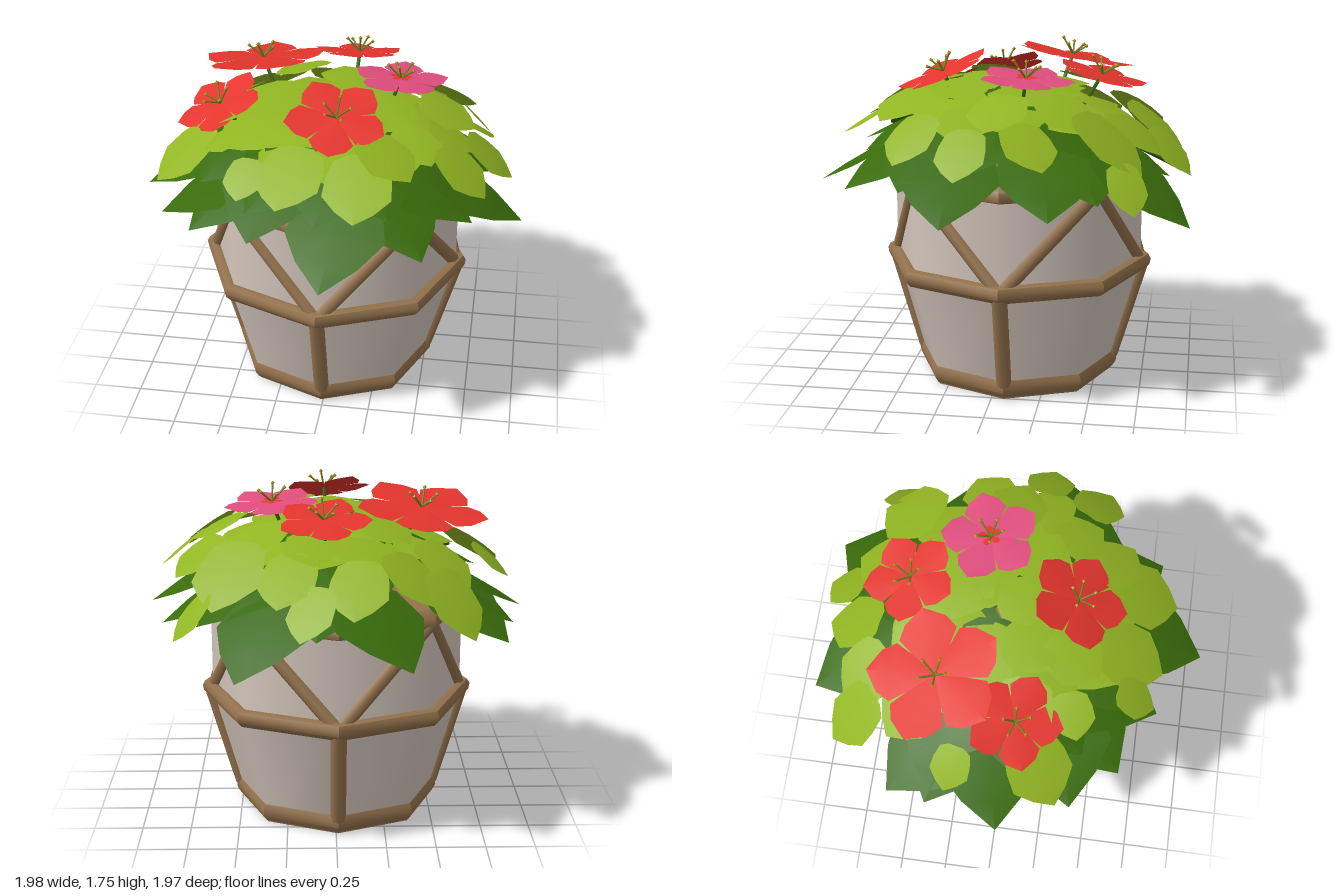
import * as THREE from 'three';
import { toCreasedNormals } from 'three/addons/utils/BufferGeometryUtils.js';

const mat = (name, color, double) => {
  const m = new THREE.MeshStandardMaterial({ color, side: double ? THREE.DoubleSide : THREE.FrontSide });
  m.name = name;
  return m;
};
const V = (x, y, z) => new THREE.Vector3(x, y, z);

function add(parent, name, geo, material) {
  const m = new THREE.Mesh(geo, material);
  m.name = name;
  parent.add(m);
  return m;
}

// Straight bar between two points
function bar(parent, name, a, b, r, material, sides = 8) {
  const d = b.clone().sub(a);
  const m = add(parent, name, new THREE.CylinderGeometry(r, r, d.length(), sides), material);
  m.position.copy(a).addScaledVector(d, 0.5);
  m.quaternion.setFromUnitVectors(V(0, 1, 0), d.normalize());
}

// Folded blade along +z from rows of [t, half width]; used for leaves and petals
function blade(rows, len, width, fold, curve) {
  const pos = [], idx = [];
  rows.forEach(([t, w], i) => {
    const y = curve * t * t * len, z = t * len;
    pos.push(-w * width, y - fold * w * width, z, 0, y, z, w * width, y - fold * w * width, z);
    if (i === 0) return;
    const a = (i - 1) * 3, b = i * 3;
    for (let k = 0; k < 2; k++) idx.push(a + k, b + k, a + k + 1, a + k + 1, b + k, b + k + 1);
  });
  const g = new THREE.BufferGeometry();
  g.setAttribute('position', new THREE.Float32BufferAttribute(pos, 3));
  g.setIndex(idx);
  g.computeVertexNormals();
  return g;
}

const BROAD_LEAF = [[0, 0.2], [0.1, 0.4], [0.35, 0.48], [0.62, 0.5], [0.83, 0.28], [1, 0]];
const POINTED_LEAF = [[0, 0.2], [0.12, 0.4], [0.45, 0.5], [0.72, 0.31], [1, 0]];
const PETAL = [[0, 0.1], [0.3, 0.27], [0.62, 0.5], [0.82, 0.36], [1, 0]];

export function createModel() {
  const root = new THREE.Group();
  root.name = 'pottedFlowers';
  const wood = mat('wood', 0x94724d, true);
  const clay = mat('paleClay', 0xd4c6bc);
  const darkGreen = mat('darkGreen', 0x396b0b, true);
  const lightGreen = mat('lightGreen', 0x91b522, true);
  const red = mat('red', 0xe4352d, true);
  const pink = mat('pink', 0xe04d7e, true);
  const olive = mat('oliveStamen', 0x7c8420);
  const gold = mat('goldStamenTip', 0xb8921f);

  // Octagonal pot with its corners on the axes
  const pot = new THREE.Group();
  pot.name = 'pot';
  pot.position.set(-0.01, 0, -0.065);
  root.add(pot);
  const wall = (name, rTop, rBottom, y0, y1) => {
    add(pot, name, new THREE.CylinderGeometry(rTop, rBottom, y1 - y0, 8, 1, true), clay).position.y = (y0 + y1) / 2;
  };
  wall('lowerWall', 0.675, 0.525, 0.08, 0.62);
  wall('upperWall', 0.66, 0.66, 0.62, 1.12);

  // Wooden rings with a rounded section that leans by a slope
  const ring = (name, r, y, rx, ry, lean) => {
    const profile = [];
    for (let i = 0; i <= 10; i++) {
      const a = -Math.PI / 2 + i * Math.PI / 5, s = Math.sin(a);
      profile.push(new THREE.Vector2(r + rx * Math.cos(a) + lean * s * ry, y + ry * s));
    }
    add(pot, name, toCreasedNormals(new THREE.LatheGeometry(profile, 8), 0.7), wood);
  };
  ring('bottomRing', 0.505, 0.057, 0.04, 0.057, 0.1);
  ring('middleRing', 0.665, 0.617, 0.05, 0.05, 0.2);
  ring('topRing', 0.645, 1.127, 0.04, 0.046, -0.3);
  add(pot, 'base', new THREE.CylinderGeometry(0.525, 0.515, 0.04, 8), wood).position.y = 0.02;
  add(pot, 'soil', new THREE.CylinderGeometry(0.62, 0.62, 0.02, 8), wood).position.y = 1.1;

  // Four posts and the slanted braces above them
  const at = (a, r, y) => V(r * Math.sin(a), y, r * Math.cos(a));
  for (let i = 0; i < 4; i++) {
    const a = i * Math.PI / 2;
    bar(pot, 'post', at(a, 0.51, 0.08), at(a, 0.66, 0.6), 0.04, wood);
    for (const s of [-1, 1])
      bar(pot, 'brace', at(a, 0.655, 0.62), at(a + s * Math.PI / 4, 0.645, 1.11), 0.038, wood);
  }

  // Leaves lie on two domes, the dark one below the light one
  const darkDome = r => 1.45 - 0.42 * Math.pow(r, 1.7);
  const lightDome = r => 1.635 - 0.42 * Math.pow(r, 2.7);
  const foliage = new THREE.Group();
  foliage.name = 'foliage';
  root.add(foliage);
  function leaf(name, material, rows, dome, tx, tz, angle, len, width, lift, fold) {
    const bx = tx - Math.sin(angle) * len, bz = tz - Math.cos(angle) * len;
    const base = V(bx, dome(Math.hypot(bx, bz)) + lift, bz);
    const f = V(tx, dome(Math.hypot(tx, tz)) + lift + 0.1 * len, tz).sub(base);
    const length = f.length() * 1.02;
    f.normalize();
    const side = V(f.z, 0, -f.x).normalize();
    const m = add(foliage, name, blade(rows, length, width, fold, -0.1), material);
    m.quaternion.setFromRotationMatrix(new THREE.Matrix4().makeBasis(side, f.clone().cross(side), f));
    m.position.copy(base);
  }

  // Outer drooping leaves, by tip
  const outer = [[0.06, 1], [0.53, 0.75], [1, 0.17], [0.89, -0.33], [0.49, -1], [-0.36, -1],
    [-0.87, -0.54], [-0.92, -0.33], [-1.01, 0.05], [-0.85, 0.4], [-0.65, 0.63], [-0.32, 0.79],
    [0.7, -0.55], [0.1, -0.88], [0.75, 0.42]];
  outer.forEach(([x, z], i) => leaf('outerLeaf', darkGreen, POINTED_LEAF, darkDome, x, z,
    Math.atan2(x, z) + 0.18 * ((i % 3) - 1), 0.52, 0.5, 0.012 * (i % 3), 0.12));

  // Inner rings of leaves: count, tip radius, lift, dome and colour
  const rings = [
    [13, 0.76, 0.06, darkDome, darkGreen, POINTED_LEAF],
    [11, 0.6, 0.08, darkDome, darkGreen, POINTED_LEAF],
    [8, 0.42, 0.1, darkDome, darkGreen, POINTED_LEAF],
    [11, 0.62, -0.13, lightDome, lightGreen, BROAD_LEAF],
    [8, 0.45, -0.08, lightDome, lightGreen, BROAD_LEAF],
  ];
  rings.forEach(([n, r, lift, dome, colour, rows], k) => {
    for (let i = 0; i < n; i++) {
      const a = (i + 0.4 * k) * 2 * Math.PI / n;
      leaf('innerLeaf', colour, rows, dome, r * Math.sin(a), r * Math.cos(a),
        a + 0.2 * ((i % 3) - 1), 0.34, 0.36, lift + 0.014 * (i % 3), 0.1);
    }
  });

  // Light leaves, by middle and length
  const light = [[0.13, -0.88, 0.24], [-0.58, -0.73, 0.29], [-0.38, -0.69, 0.3], [-0.1, -0.79, 0.3],
    [0.24, -0.7, 0.3], [0.53, -0.6, 0.36], [0.71, -0.69, 0.2], [0.42, -0.38, 0.33], [0.7, -0.22, 0.28],
    [0.58, -0.04, 0.3], [0.81, 0.1, 0.25], [0.62, 0.12, 0.26], [0.45, 0.3, 0.26], [0.69, 0.37, 0.27],
    [0.33, 0.48, 0.3], [0.2, 0.66, 0.34], [-0.14, 0.62, 0.34], [-0.35, 0.66, 0.2], [-0.5, 0.36, 0.22],
    [-0.22, 0.34, 0.3], [-0.75, 0.24, 0.33], [-0.52, 0.12, 0.3], [-0.8, -0.2, 0.2], [-0.2, 0.12, 0.3],
    [0.12, -0.13, 0.28], [0.26, 0.12, 0.3], [0.02, -0.3, 0.28], [0.05, 0.32, 0.3], [-0.55, -0.45, 0.3],
    [-0.25, -0.42, 0.3], [0.02, 0.06, 0.26], [-0.35, -0.1, 0.3], [0.12, -0.52, 0.28]];
  light.forEach(([x, z, len], i) => {
    const a = Math.atan2(x, z) + 0.3 * ((i % 3) - 1);
    leaf('lightLeaf', lightGreen, BROAD_LEAF, lightDome, x + Math.sin(a) * len / 2, z + Math.cos(a) * len / 2,
      a, len, len * 0.98, 0.018 * ((i * 3) % 4) - 0.06, 0.08);
  });

  // Five-petalled flowers: centre, radius, facing, spin, colour
  const flowers = [
    [V(-0.43, 1.65, -0.31), 0.34, V(-0.1, 1, -0.18), Math.PI, red],
    [V(0.06, 1.63, -0.51), 0.24, V(0, 1, -0.25), Math.PI + 0.25, red],
    [V(0.32, 1.645, -0.15), 0.25, V(0.06, 1, -0.08), Math.PI, pink],
    [V(-0.58, 1.555, 0.09), 0.24, V(-0.4, 1, 0.25), 0, red],
    [V(0.05, 1.625, 0.32), 0.26, V(0.1, 1, 0.4), 0, red],
  ];
  for (const [c, R, n, spin, colour] of flowers) {
    const flower = new THREE.Group();
    flower.name = 'flower';
    flower.position.copy(c);
    flower.quaternion.setFromUnitVectors(V(0, 1, 0), n.normalize());
    root.add(flower);
    for (let i = 0; i < 5; i++) {
      const a = spin + i * Math.PI * 0.4;
      add(flower, 'petal', blade(PETAL, R, R * 0.84, 0.08, 0.02), colour).rotation.y = a;
      if (colour === pink)
        add(flower, 'petalHeart', blade(PETAL, R * 0.24, R * 0.15, 0.1, 0.03).translate(0, 0.006, 0), red).rotation.y = a;
      // Stamens with a small tip
      const tip = V(0.07 * Math.sin(a + 0.5), 0.055 + 0.012 * (i % 3), 0.07 * Math.cos(a + 0.5));
      bar(flower, 'stamen', V(0, 0, 0), tip, 0.005, olive, 5);
      add(flower, 'stamenTip', new THREE.OctahedronGeometry(0.011), gold).position.copy(tip);
    }
    bar(root, 'flowerStem', V(c.x * 0.4, 1.1, c.z * 0.4), c, 0.01, darkGreen, 5);
  }
  return root;
}
